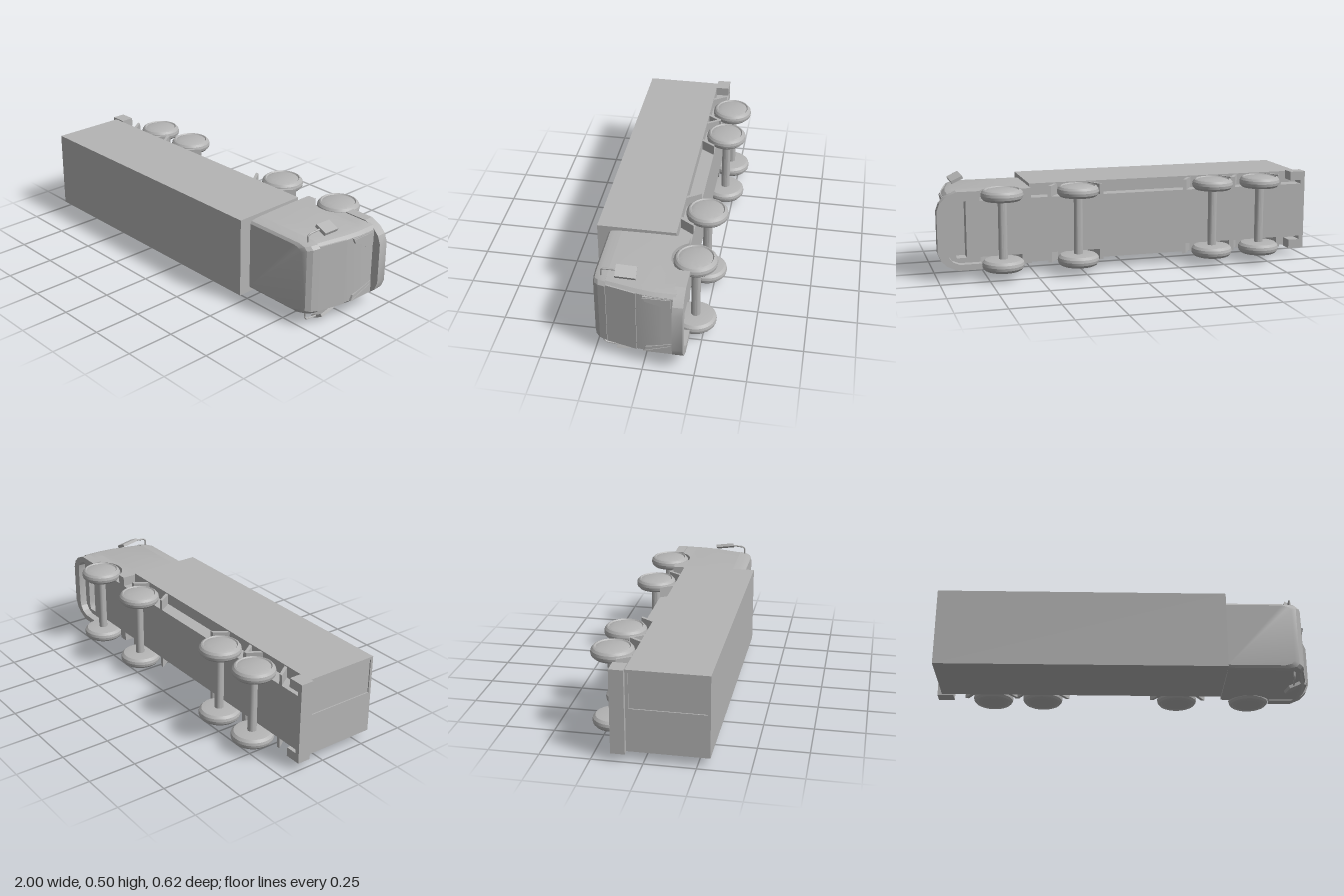
import * as THREE from 'three';
import { toCreasedNormals } from 'three/addons/utils/BufferGeometryUtils.js';

// The truck lies on its side: nose to +x, roof to +z, width along y.
const grey = new THREE.MeshStandardMaterial({ color: 0xb4b4b4 });
grey.name = 'grey';

export function createModel() {
  const root = new THREE.Group();
  root.name = 'boxTruck';
  const body = new THREE.Group();
  body.name = 'truckOnSide';
  body.position.y = 0.25;
  root.add(body);

  const add = (name, geo, parent = body) => {
    const mesh = new THREE.Mesh(toCreasedNormals(geo, 0.4), grey);
    mesh.name = name;
    parent.add(mesh);
    return mesh;
  };
  // box given by its limits
  const box = (name, x0, x1, y0, y1, z0, z1) => add(name,
    new THREE.BoxGeometry(x1 - x0, y1 - y0, z1 - z0)
      .translate((x0 + x1) / 2, (y0 + y1) / 2, (z0 + z1) / 2));
  const shapeOf = (pts) => new THREE.Shape(pts.map(([a, b]) => new THREE.Vector2(a, b)));
  const prism = (shape, depth) =>
    new THREE.ExtrudeGeometry(shape, { depth, bevelEnabled: false, curveSegments: 24 });

  // U-shaped wall in plan: half outlines run from the open end to the middle
  const uWall = (name, outer, inner, z0, z1) => {
    const flip = (pts) => pts.map(([x, y]) => [x, -y]);
    const pts = [...outer, ...flip(outer).reverse(), ...flip(inner), ...[...inner].reverse()];
    return add(name, prism(shapeOf(pts), z1 - z0).translate(0, 0, z0));
  };
  // profile in x and z, extruded across the width between y0 and y1
  const sidePlate = (name, shape, y0, y1) =>
    add(name, prism(shape, y1 - y0).rotateX(Math.PI / 2).translate(0, y1, 0));
  // profile in y and z, extruded forwards from x
  const frontPlate = (name, pts, x, depth) => {
    const g = prism(shapeOf(pts), depth);
    g.applyMatrix4(new THREE.Matrix4().makeBasis(
      new THREE.Vector3(0, 1, 0), new THREE.Vector3(0, 0, 1), new THREE.Vector3(1, 0, 0)));
    return add(name, g.translate(x, 0, 0));
  };

  // solid through convex plan sections [z, front x, half width]
  const CAB_BACK = 0.518;
  const cabLoft = (name, sections) => {
    const pos = [], idx = [];
    for (const [z, xf, w] of sections) {
      const half = [[CAB_BACK, w], [xf - 0.05, w], [xf - 0.016, w - 0.009], [xf, w - 0.025]];
      half.forEach(([x, y]) => pos.push(x, -y, z));
      [...half].reverse().forEach(([x, y]) => pos.push(x, y, z));
    }
    const n = 8, top = (sections.length - 1) * n;
    for (let s = 0; s < top; s += n)
      for (let i = 0; i < n; i++) {
        const a = s + i, b = s + (i + 1) % n;
        idx.push(a, b, b + n, a, b + n, a + n);
      }
    for (let i = 1; i < n - 1; i++) idx.push(0, i + 1, i, top, top + i, top + i + 1);
    const g = new THREE.BufferGeometry();
    g.setAttribute('position', new THREE.Float32BufferAttribute(pos, 3));
    g.setIndex(idx);
    return add(name, g);
  };

  // cargo box and its rear doors
  box('cargoBox', -0.97, 0.512, -0.206, 0.206, -0.085, 0.311);
  for (const s of [-1, 1]) {
    const frame = shapeOf([[0.0, -0.085], [0.206, -0.085], [0.206, 0.311], [0.0, 0.311]]
      .map(([y, z]) => [s * y, z]));
    frame.holes.push(shapeOf([[0.012, -0.07], [0.192, -0.07], [0.192, 0.297], [0.012, 0.297]]
      .map(([y, z]) => [s * y, z])));
    const g = prism(frame, 0.006);
    g.applyMatrix4(new THREE.Matrix4().makeBasis(
      new THREE.Vector3(0, 1, 0), new THREE.Vector3(0, 0, 1), new THREE.Vector3(1, 0, 0)));
    add('rearDoorFrame', g.translate(-0.976, 0, 0));
  }

  // chassis and rear bumper
  box('chassis', -0.976, 0.85, -0.145, 0.145, -0.155, -0.083);
  uWall('rearBumper', [[-0.915, 0.212], [-1, 0.212]], [[-0.915, 0.165], [-0.976, 0.165]], -0.155, -0.085);

  // cab
  cabLoft('cabBody', [[-0.09, 0.957, 0.195], [-0.05, 0.956, 0.195], [0.03, 0.945, 0.195], [0.185, 0.908, 0.192]]);
  cabLoft('cabRoof', [[0.185, 0.917, 0.192], [0.222, 0.905, 0.189], [0.243, 0.885, 0.184], [0.253, 0.86, 0.172]]);
  uWall('cabLowerFront', [[0.84, 0.195], [0.907, 0.195], [0.941, 0.186], [0.957, 0.17]],
    [[0.84, 0.145], [0.9, 0.145], [0.91, 0.12], [0.91, 0.1]], -0.155, -0.088);
  const windshield = add('windshield', new THREE.BoxGeometry(0.008, 0.344, 0.152));
  windshield.position.set(0.9275, 0, 0.108);
  windshield.rotation.y = -0.234;

  // front bumper
  uWall('frontBumper',
    [[0.78, 0.2], [0.9, 0.2], [0.955, 0.175], [0.985, 0.145], [1, 0.105]],
    [[0.78, 0.17], [0.89, 0.17], [0.925, 0.155], [0.945, 0.13], [0.952, 0.1]], -0.195, -0.144);

  // wheel arch skirt profile
  const skirt = new THREE.Shape();
  skirt.moveTo(CAB_BACK, -0.155);
  skirt.lineTo(0.567, -0.155);
  const arch = Math.atan2(0.054, 0.107);
  skirt.absarc(0.674, -0.209, 0.12, Math.PI - arch, arch, true);
  skirt.lineTo(0.86, -0.155);
  skirt.lineTo(0.86, -0.085);
  skirt.lineTo(CAB_BACK, -0.085);

  // paired cab details
  for (const s of [-1, 1]) {
    sidePlate('cabSkirt', skirt, Math.min(s * 0.145, s * 0.195), Math.max(s * 0.145, s * 0.195));
    const side = (pts) => pts.map(([y, z]) => [s * y, z]);
    frontPlate('headlightCheek', side([[0.168, 0], [0.168, -0.142], [0.105, -0.142], [0.14, -0.012]]), 0.945, 0.016);
    frontPlate('headlight', side([[0.163, 0], [0.164, -0.132], [0.118, -0.132]]), 0.958, 0.007);

    // mirror on a bent arm
    const arm = new THREE.CurvePath();
    const p = [[0.86, 0.185, 0.212], [0.86, 0.22, 0.212], [0.862, 0.229, 0.2], [0.866, 0.233, 0.13]]
      .map(([x, y, z]) => new THREE.Vector3(x, s * y, z));
    for (let i = 0; i < 3; i++) arm.add(new THREE.LineCurve3(p[i], p[i + 1]));
    add('mirrorArm', new THREE.TubeGeometry(arm, 18, 0.005, 6));
    const mirror = add('mirror', new THREE.BoxGeometry(0.064, 0.016, 0.1));
    mirror.position.set(0.867, s * 0.226, 0.093);
    mirror.rotation.set(-s * 0.11, 0.1, -s * 0.42);
  }

  // wheels, axles and slanted mudguards
  const tyre = [[0, -0.03], [0.068, -0.03], [0.092, -0.026], [0.104, -0.014], [0.107, 0],
    [0.104, 0.014], [0.095, 0.025], [0.087, 0.029], [0.082, 0.023], [0.06, 0.029], [0, 0.031]]
    .map(([r, y]) => new THREE.Vector2(r, y));
  for (const x of [0.674, 0.284, -0.445, -0.712]) {
    add('axle', new THREE.CylinderGeometry(0.023, 0.023, 0.32, 16)).position.set(x, 0, -0.208);
    for (const s of [-1, 1]) {
      const wheel = add('wheel', new THREE.LatheGeometry(tyre, 40));
      wheel.position.set(x, s * 0.178, -0.205);
      if (s < 0) wheel.rotation.x = Math.PI;
      if (x > 0.5) continue;
      for (const d of [-1, 1]) {
        const flap = shapeOf([[0.08, -0.084], [0.128, -0.155], [0.147, -0.155], [0.099, -0.084]]
          .map(([a, z]) => [x + d * a, z]));
        sidePlate('mudguard', flap, Math.min(s * 0.14, s * 0.2), Math.max(s * 0.14, s * 0.2));
      }
    }
  }
  return root;
}
